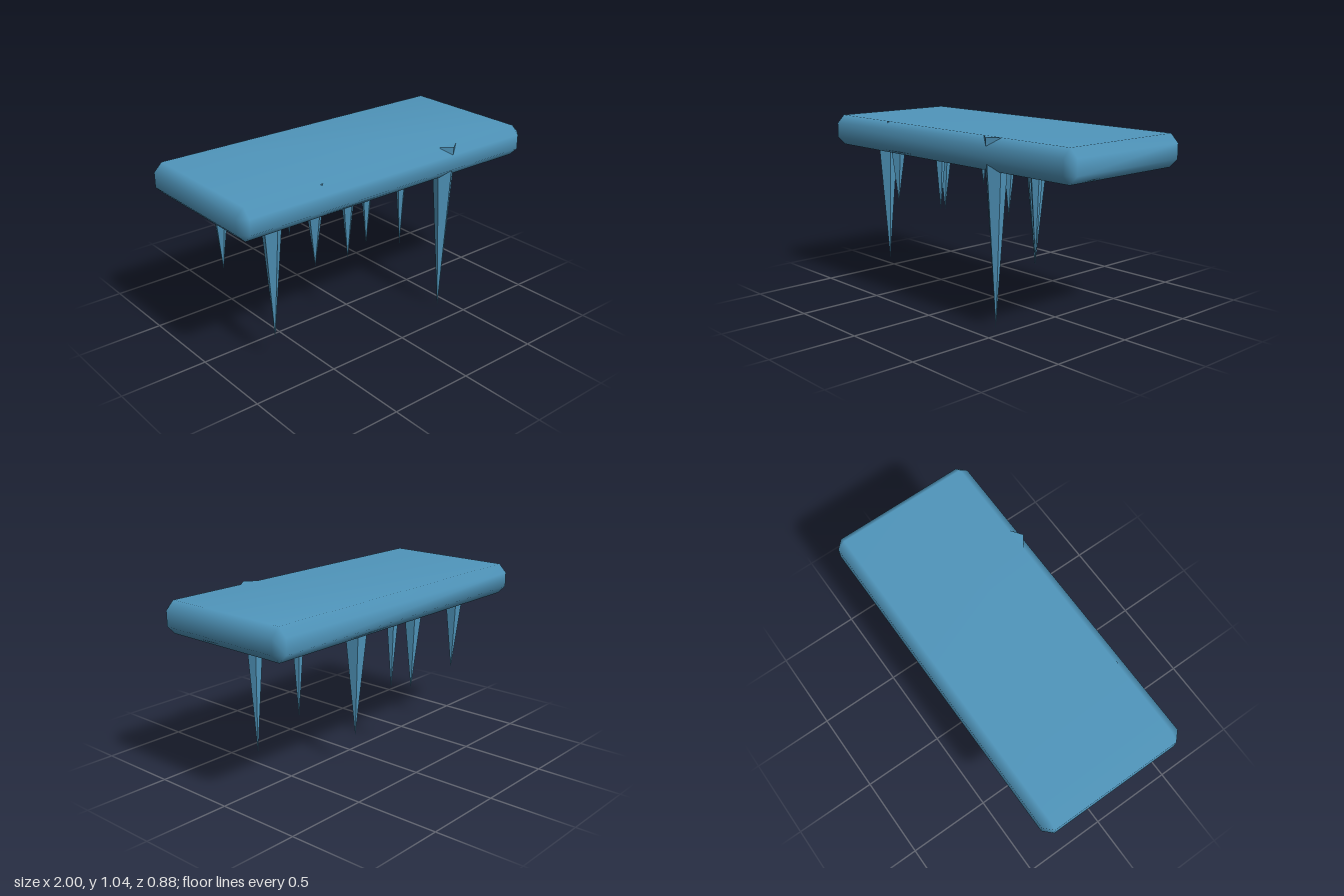
import * as THREE from 'three';
import { mergeVertices } from 'three/addons/utils/BufferGeometryUtils.js';
import { ConvexGeometry } from 'three/addons/geometries/ConvexGeometry.js';

const TOP = 1.04, BOTTOM = 0.858;

// Box with 45 degree bevels on every edge, shaded smoothly across them
function bevelledBox(width, height, depth, bevel) {
  const half = [width / 2, height / 2, depth / 2];
  const points = [];
  for (const sx of [-1, 1]) for (const sy of [-1, 1]) for (const sz of [-1, 1]) {
    for (let axis = 0; axis < 3; axis++) {
      const c = half.map((h, i) => (i === axis ? h : h - bevel));
      points.push(new THREE.Vector3(sx * c[0], sy * c[1], sz * c[2]));
    }
  }
  const hull = new ConvexGeometry(points);
  hull.deleteAttribute('normal');
  const geometry = mergeVertices(hull, 1e-4);
  geometry.computeVertexNormals();
  return geometry;
}

// Five-sided spike pointing down, with one edge towards the front
function spikeGeometry(radius, height) {
  const geometry = new THREE.CylinderGeometry(radius, 0, height, 5, 1).toNonIndexed();
  geometry.computeVertexNormals();
  return geometry;
}

export function createModel() {
  const model = new THREE.Group();
  model.name = 'icicleSlab';
  const ice = new THREE.MeshStandardMaterial({ color: 0x5096bc });
  ice.name = 'iceBlue';

  // Slab
  const slab = new THREE.Mesh(bevelledBox(2, TOP - BOTTOM, 0.875, 0.048), ice);
  slab.name = 'slab';
  slab.position.y = (TOP + BOTTOM) / 2;
  model.add(slab);

  // Icicles: x, z, tip height, radius at the top
  const icicles = [
    [0.41, 0.367, 0, 0.073],
    [0.385, 0.045, 0.305, 0.054],
    [0.16, -0.18, 0.19, 0.089],
    [-0.115, 0.31, 0.56, 0.048],
    [-0.195, -0.3, 0.41, 0.073],
    [-0.325, -0.207, 0.61, 0.063],
    [-0.485, 0.33, 0.55, 0.069],
    [-0.7, 0.247, 0.15, 0.076],
    [-0.715, -0.217, 0.39, 0.08],
  ];
  const spikeTop = TOP - 0.001;
  icicles.forEach(([x, z, tip, radius], i) => {
    const icicle = new THREE.Mesh(spikeGeometry(radius, spikeTop - tip), ice);
    icicle.name = `icicle${i + 1}`;
    icicle.position.set(x, (spikeTop + tip) / 2, z);
    model.add(icicle);
  });
  return model;
}
